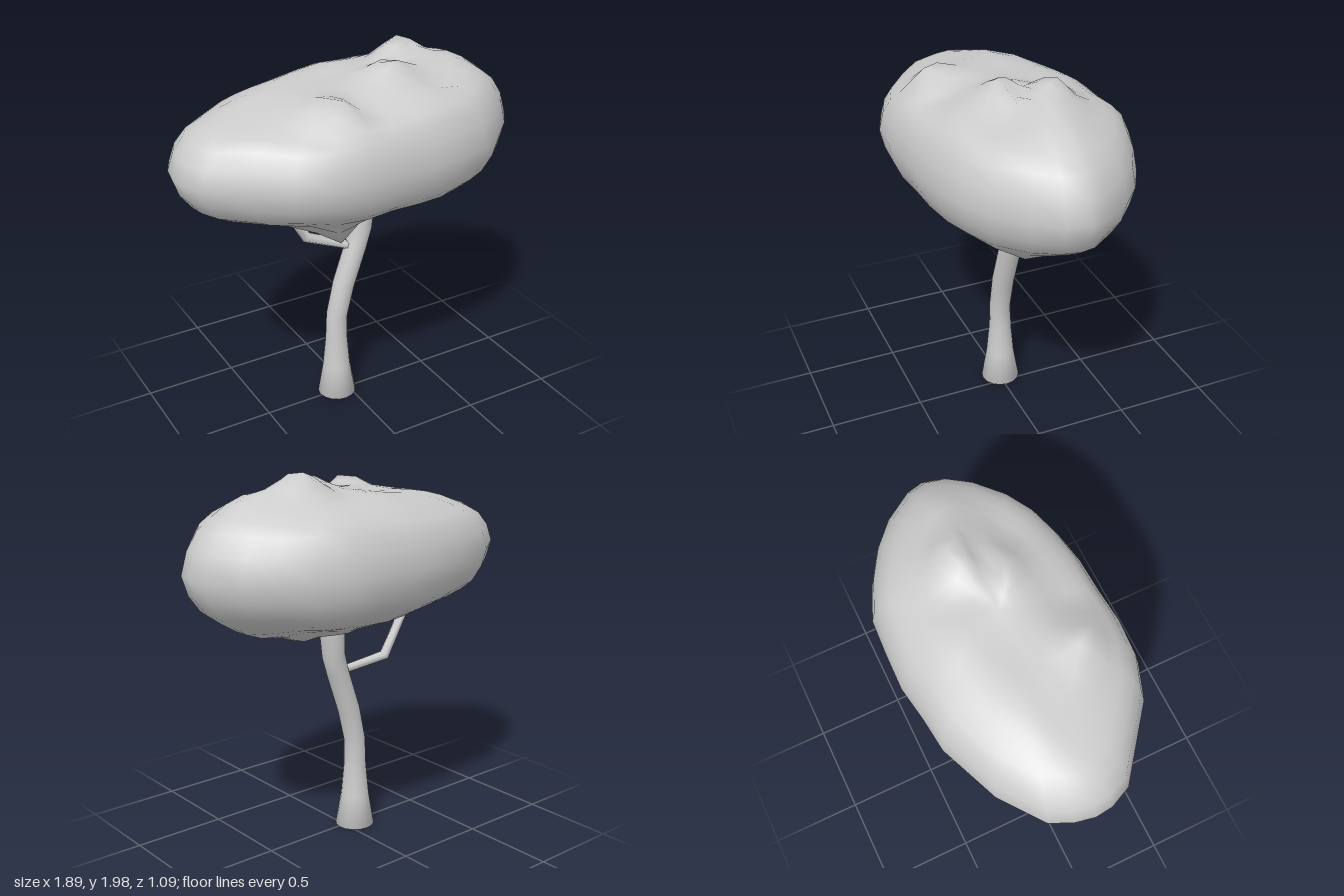
import * as THREE from 'three';
import { mergeVertices } from 'three/addons/utils/BufferGeometryUtils.js';

const material = new THREE.MeshStandardMaterial({ color: 0xcccccc });

// Round limb: one ring of vertices per [x, y, z, radius] station, capped at both ends
function limb(name, stations, sides) {
  const path = stations.map(s => new THREE.Vector3(s[0], s[1], s[2]));
  const pos = [], index = [];
  const up = new THREE.Vector3(0, 0, 1);
  stations.forEach((s, i) => {
    const dir = path[Math.min(i + 1, path.length - 1)].clone().sub(path[Math.max(i - 1, 0)]).normalize();
    if (i === 0 && s[1] === 0) dir.set(0, 1, 0);
    const a = new THREE.Vector3().crossVectors(up, dir).normalize();
    const b = new THREE.Vector3().crossVectors(dir, a);
    for (let j = 0; j < sides; j++) {
      const t = (j / sides) * Math.PI * 2;
      const p = path[i].clone().addScaledVector(a, -Math.cos(t) * s[3]).addScaledVector(b, -Math.sin(t) * s[3]);
      pos.push(p.x, p.y, p.z);
      if (i > 0) {
        const k = (j + 1) % sides, lo = (i - 1) * sides, hi = i * sides;
        index.push(lo + j, lo + k, hi + k, lo + j, hi + k, hi + j);
      }
    }
  });
  // End caps
  const last = stations.length - 1;
  for (const [ring, flip] of [[0, true], [last, false]]) {
    const c = pos.length / 3;
    pos.push(...path[ring].toArray());
    for (let j = 0; j < sides; j++) {
      const p = ring * sides + j, q = ring * sides + (j + 1) % sides;
      index.push(c, flip ? q : p, flip ? p : q);
    }
  }
  const g = new THREE.BufferGeometry();
  g.setAttribute('position', new THREE.Float32BufferAttribute(pos, 3));
  g.setIndex(index);
  g.computeVertexNormals();
  const mesh = new THREE.Mesh(g, material);
  mesh.name = name;
  return mesh;
}

// Widest outline of the crown seen from above, [x, z], from -x round through the front
const outline = [
  [-0.95, 0], [-0.94, 0.09], [-0.89, 0.2], [-0.71, 0.34], [-0.55, 0.465], [-0.37, 0.53], [-0.18, 0.54],
  [0, 0.525], [0.2, 0.515], [0.38, 0.48], [0.55, 0.43], [0.69, 0.345], [0.83, 0.21], [0.92, 0.09],
  [0.945, -0.02], [0.92, -0.11], [0.82, -0.26], [0.7, -0.37], [0.55, -0.46], [0.38, -0.53], [0.2, -0.54],
  [0, -0.545], [-0.18, -0.515], [-0.36, -0.495], [-0.67, -0.37], [-0.88, -0.21], [-0.93, -0.1],
];

// Half section of the crown from its pole to its rim: [share of outline, share of height]
const section = [
  [0, 1], [0.1, 1], [0.2, 0.99], [0.31, 0.97], [0.42, 0.94], [0.53, 0.89],
  [0.63, 0.84], [0.73, 0.76], [0.82, 0.665], [0.9, 0.54], [0.965, 0.3], [1, 0],
];

// Lumps and hollows: [x, z, outward height, width]
const topLumps = [
  [0.34, -0.09, 0.13, 0.085], [0.19, 0.1, 0.07, 0.07], [0.27, 0.01, -0.07, 0.05], [0.6, 0, 0.04, 0.12],
  [-0.25, 0.3, 0.1, 0.06], [-0.08, 0.32, -0.04, 0.08], [0.42, 0.2, -0.03, 0.07],
];
const bottomLumps = [
  [-0.25, 0.3, 0.13, 0.06], [0.34, -0.08, 0.07, 0.08], [0.56, 0.18, 0.08, 0.06],
  [0.2, -0.2, 0.04, 0.07], [0.62, -0.05, 0.03, 0.12],
];

function canopy() {
  const n = outline.length, rows = section.length - 1;
  let g = new THREE.SphereGeometry(1, n, rows * 2);
  const p = g.attributes.position;
  const cx = 0.02, cz = -0.02;
  for (let i = 0; i < p.count; i++) {
    const row = Math.floor(i / (n + 1)), top = row < rows;
    const [r, h] = section[top ? row : rows * 2 - row];
    const [ox, oz] = outline[(i % (n + 1)) % n];
    const x = cx + (ox - cx) * r, z = cz + (oz - cz) * r;
    let lift = 0;
    for (const [lx, lz, height, width] of top ? topLumps : bottomLumps) {
      lift += height * Math.exp(-((x - lx) ** 2 + (z - lz) ** 2) / (2 * width * width));
    }
    // Slight unevenness, fading at the rim
    lift += 0.012 * Math.sin(9 * x + 5 * z) * Math.cos(11 * z - 4 * x);
    const rise = h * (top ? 0.345 + 0.05 * x : 0.33 + 0.02 * x);
    const y = rise + lift * Math.min(1, h * 1.4);
    p.setXYZ(i, x, 1.52 + (top ? y : -y), z);
  }
  g.deleteAttribute('uv');
  g.deleteAttribute('normal');
  g = mergeVertices(g, 1e-4);
  g.computeVertexNormals();
  const mesh = new THREE.Mesh(g, material);
  mesh.name = 'canopy';
  return mesh;
}

export function createModel() {
  const tree = new THREE.Group();
  tree.name = 'tree';

  // Trunk with flared foot and leaning upper half
  tree.add(limb('trunk', [
    [-0.065, 0, -0.012, 0.106], [-0.066, 0.18, -0.012, 0.076], [-0.065, 0.35, -0.012, 0.061],
    [-0.062, 0.5, -0.012, 0.058], [-0.02, 0.68, -0.012, 0.06], [0.058, 0.9, -0.015, 0.06],
    [0.09, 1.0, -0.02, 0.062], [0.105, 1.18, -0.025, 0.07], [0.108, 1.24, -0.025, 0.07],
  ], 16));

  // Bent side branch reaching into the crown
  tree.add(limb('branch', [
    [0.05, 0.895, 0, 0.024], [-0.195, 0.967, -0.1, 0.03], [-0.315, 1.17, -0.1, 0.025], [-0.355, 1.24, -0.1, 0.023],
  ], 6));

  tree.add(canopy());
  return tree;
}
